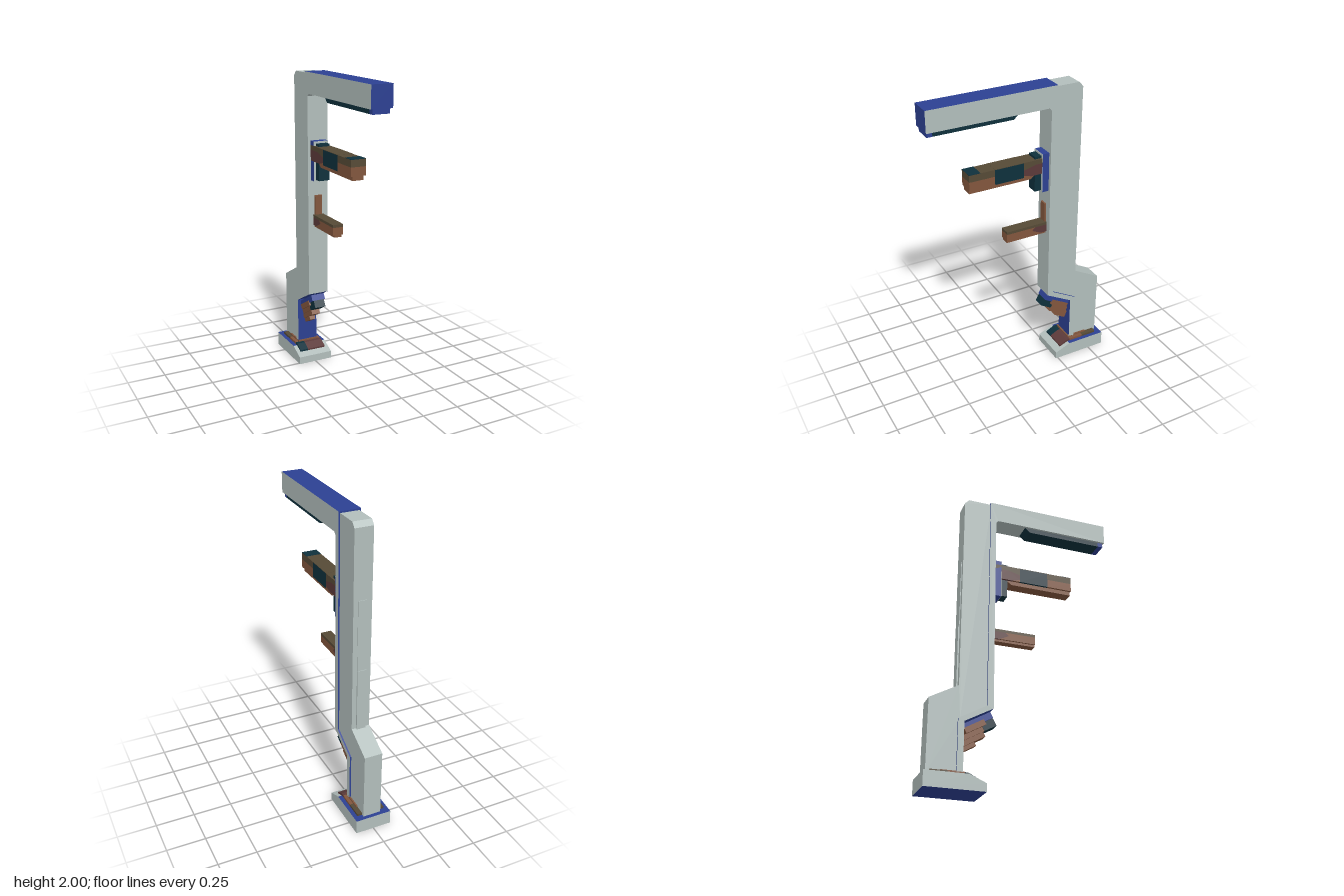
import * as THREE from 'three';

const mat = (name, color) => {
  const m = new THREE.MeshStandardMaterial({ color });
  m.name = name;
  return m;
};

export function createModel() {
  const gray = mat('pale gray', 0xb2bebc);
  const blue = mat('blue', 0x2c4092);
  const teal = mat('dark teal', 0x0e303c);
  const brown = mat('brown', 0x82563d);
  const olive = mat('olive brown', 0x564a36);
  const rust = mat('red brown', 0x5c3a3a);

  const model = new THREE.Group();
  model.name = 'armedPost';
  const group = (name) => {
    const g = new THREE.Group();
    g.name = name;
    model.add(g);
    return g;
  };

  // Side profile of [z, y] points, extruded across x from x0 to x1.
  // With a rule, each triangle picks its material from normal and centre.
  function prism(parent, name, points, x0, x1, materials, rule) {
    const shape = new THREE.Shape(points.map(([z, y]) => new THREE.Vector2(z, y)));
    const geo = new THREE.ExtrudeGeometry(shape, { depth: x1 - x0, bevelEnabled: false });
    geo.rotateY(-Math.PI / 2);
    geo.translate(x1, 0, 0);
    geo.clearGroups();
    if (rule) {
      const p = geo.attributes.position;
      const tri = new THREE.Triangle(), n = new THREE.Vector3(), c = new THREE.Vector3();
      for (let i = 0; i < p.count; i += 3) {
        tri.setFromAttributeAndIndices(p, i, i + 1, i + 2);
        tri.getNormal(n);
        tri.getMidpoint(c);
        geo.addGroup(i, 3, rule(n, c));
      }
    }
    const mesh = new THREE.Mesh(geo, materials);
    mesh.name = name;
    parent.add(mesh);
    return mesh;
  }

  // Box centred on x, given its y and z ranges
  function box(parent, name, material, halfWidth, y0, y1, z0, z1) {
    const mesh = new THREE.Mesh(new THREE.BoxGeometry(halfWidth * 2, y1 - y0, z1 - z0), material);
    mesh.position.set(0, (y0 + y1) / 2, (z0 + z1) / 2);
    mesh.name = name;
    parent.add(mesh);
    return mesh;
  }

  // Base with a sloped toe, blue on its flat top and underside
  prism(model, 'base',
    [[-0.61, 0], [-0.235, 0], [-0.235, 0.05], [-0.34, 0.095], [-0.61, 0.095]],
    -0.12, 0.12, [gray, blue], (n) => (Math.abs(n.y) > 0.99 ? 1 : 0));

  // Rear spine, stepping back above the base
  const spine = group('spine');
  prism(spine, 'spineBody',
    [[-0.22, 1.99], [-0.375, 1.99], [-0.403, 1.96], [-0.403, 0.65], [-0.585, 0.55],
      [-0.585, 0.09], [-0.39, 0.09], [-0.39, 0.44], [-0.22, 0.54]],
    -0.06, 0.06, gray);
  box(spine, 'upperRearPanel', gray, 0.03, 1.06, 1.52, -0.407, -0.4);
  box(spine, 'lowerRearPanel', gray, 0.03, 0.645, 1.06, -0.412, -0.4);

  // Front bracket: top arm, column and cranked foot in one profile
  prism(model, 'bracket',
    [[0.613, 2], [0.613, 1.865], [-0.17, 1.865], [-0.185, 1.85], [-0.185, 0.525],
      [-0.365, 0.425], [-0.365, 0.09], [-0.403, 0.09], [-0.403, 0.44], [-0.225, 0.54], [-0.225, 2]],
    -0.07, 0.07, [gray, blue],
    (n, c) => (Math.abs(n.x) > 0.5 || (c.z > -0.19 && c.z < 0.6 && n.y < 0.5) ? 0 : 1));

  // Strip under the top arm
  const strip = group('armUnderStrip');
  prism(strip, 'stripBody', [[0.57, 1.87], [0.57, 1.835], [0.06, 1.835], [0.02, 1.87]], -0.055, 0.055, teal);
  box(strip, 'stripEnd', blue, 0.055, 1.835, 1.87, 0.57, 0.605);

  // Mounting plate behind the long peg
  const mount = group('pegMount');
  box(mount, 'mountPlate', blue, 0.05, 1.31, 1.568, -0.19, -0.14);
  box(mount, 'mountFace', gray, 0.05, 1.31, 1.568, -0.14, -0.137);
  box(mount, 'mountBlock', teal, 0.037, 1.32, 1.555, -0.137, -0.093);

  // Long peg with patchwork colours and a narrow lower rail
  const peg = group('longPeg');
  const w = 0.05;
  box(peg, 'tipLower', brown, w, 1.44, 1.495, 0.185, 0.355);
  box(peg, 'tipUpper', olive, w, 1.495, 1.54, 0.185, 0.355);
  box(peg, 'tipCap', teal, w, 1.54, 1.542, 0.28, 0.355);
  box(peg, 'middle', teal, w, 1.44, 1.538, -0.01, 0.185);
  box(peg, 'middleTop', olive, w, 1.538, 1.541, -0.01, 0.185);
  prism(peg, 'rootLower', [[-0.01, 1.455], [-0.01, 1.49], [-0.09, 1.51], [-0.19, 1.51],
    [-0.19, 1.44], [-0.06, 1.44]], -w, w, rust);
  prism(peg, 'rootUpper', [[-0.01, 1.49], [-0.01, 1.54], [-0.19, 1.54], [-0.19, 1.51],
    [-0.09, 1.51]], -w, w, olive);
  prism(peg, 'rootCorner', [[-0.01, 1.455], [-0.06, 1.44], [-0.01, 1.44]], -w, w, brown);
  prism(peg, 'lowerRail', [[0.352, 1.44], [0.352, 1.413], [-0.065, 1.413], [-0.1, 1.44]], -0.037, 0.037, brown);

  // Short peg with a small upright plate against the column
  const short = group('shortPeg');
  prism(short, 'shortBody', [[0.1, 1.01], [0.1, 1.06], [-0.1, 1.06], [-0.08, 1.04], [-0.14, 1.01]],
    -0.035, 0.035, brown);
  prism(short, 'shortRoot', [[-0.08, 1.04], [-0.1, 1.06], [-0.19, 1.06], [-0.19, 1.01], [-0.14, 1.01]],
    -0.035, 0.035, rust);
  box(short, 'shortTop', olive, 0.035, 1.06, 1.078, -0.19, 0.1);
  box(short, 'shortRail', brown, 0.025, 0.995, 1.01, -0.19, 0.098);
  box(short, 'uprightPlate', brown, 0.025, 1.078, 1.207, -0.19, -0.174);

  // Stepped stack slung under the bracket's crank: u runs down the slope, v away from it
  const stack = group('crankStack');
  const at = (u, v) => [-0.2 - 0.87 * u + 0.5 * v, 0.51 - 0.5 * u - 0.87 * v];
  [
    ['blueLayer', blue, 0.047, 0, 0.2, 0, 0.04],
    ['tealLayer', teal, 0.038, 0, 0.085, 0.04, 0.09],
    ['brownLayer', brown, 0.05, 0.06, 0.2, 0.025, 0.06],
    ['innerLayer', brown, 0.036, 0.085, 0.225, 0.06, 0.09],
    ['thirdLayer', brown, 0.03, 0.093, 0.245, 0.09, 0.12],
    ['bottomLayer', brown, 0.02, 0.17, 0.258, 0.12, 0.145],
  ].forEach(([name, m, half, u0, u1, v0, v1]) =>
    prism(stack, name, [at(u0, v0), at(u0, v1), at(u1, v1), at(u1, v0)], -half, half, m));

  // Patchwork collar lying on the base around the foot
  const collar = group('footCollar');
  const c = 0.093;
  box(collar, 'collarRear', olive, c, 0.09, 0.11, -0.565, -0.46);
  box(collar, 'collarMiddle', brown, c, 0.09, 0.11, -0.46, -0.36);
  const toe = [[-0.36, 0.09], [-0.36, 0.11], [-0.335, 0.108], [-0.28, 0.08], [-0.28, 0.068]];
  prism(collar, 'collarToeRight', toe, -c, -0.035, teal);
  prism(collar, 'collarToeLeft', toe, -0.035, c, rust);
  box(collar, 'collarPad', brown, 0.07, 0.11, 0.12, -0.5, -0.355);

  return model;
}
